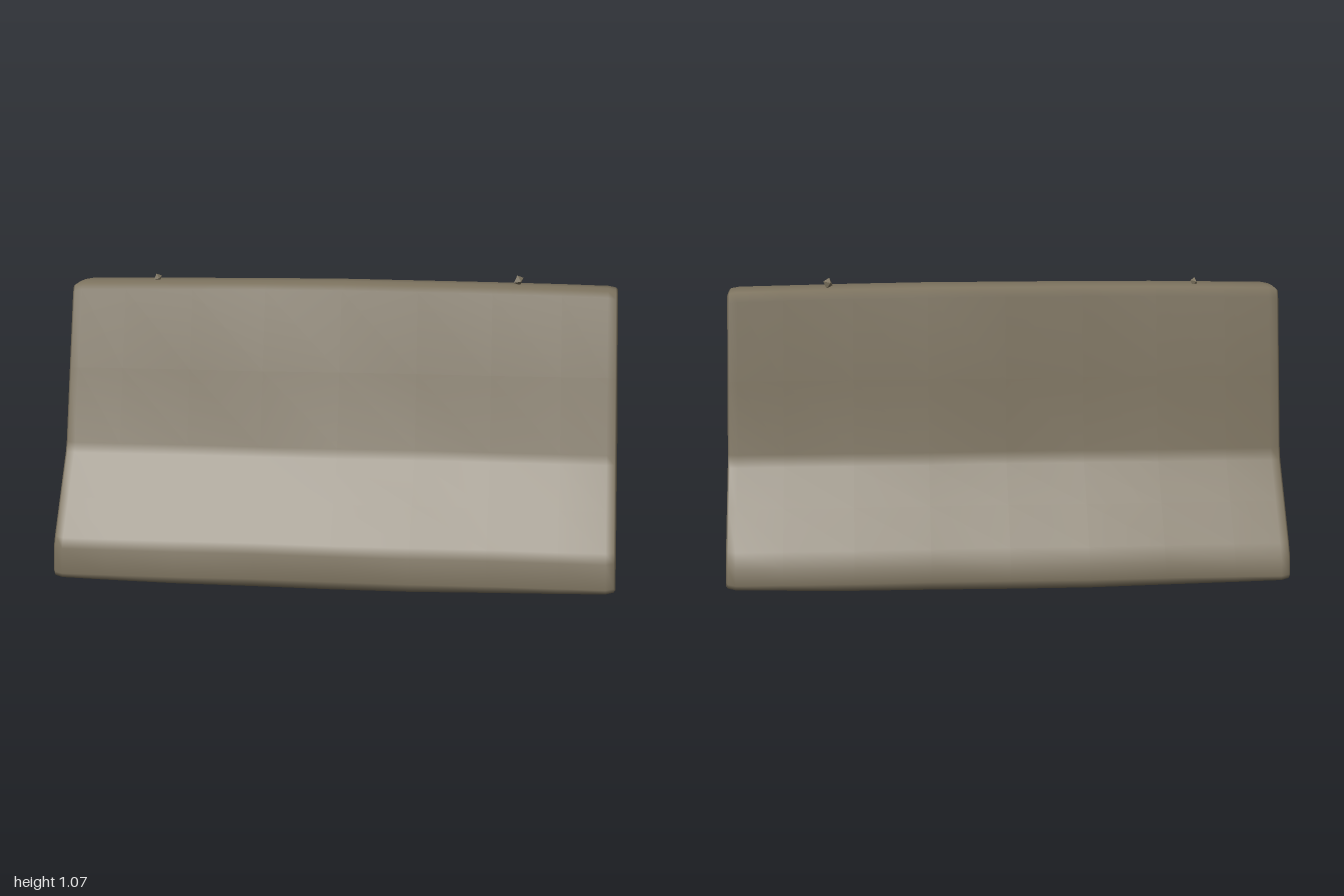
import * as THREE from 'three';

// Barrier cross-section as [z, y], up the front, over the top, down the back, along the underside
const PROFILE = [
  [0.40, 0.02], [0.408, 0.035], [0.403, 0.125], [0.385, 0.16], [0.30, 0.29], [0.205, 0.435],
  [0.19, 0.47], [0.13, 0.735], [0.066, 1.01], [0.052, 1.032], [-0.03, 1.034], [-0.108, 1.032],
  [-0.122, 1.0], [-0.15, 0.72], [-0.178, 0.46], [-0.192, 0.415], [-0.28, 0.285], [-0.37, 0.15],
  [-0.398, 0.10], [-0.405, 0.04], [-0.397, 0.024], [-0.25, 0.017], [-0.09, 0.014], [0.2, 0.017],
];

// Stations along the length: [x, inset], with the last ones rounding off the ends
const STATIONS = [
  [-1, 0.045], [-0.993, 0.018], [-0.965, 0], [-0.8, 0], [-0.55, 0], [-0.28, 0], [0, 0],
  [0.28, 0], [0.55, 0], [0.8, 0], [0.965, 0], [0.993, 0.018], [1, 0.045],
];

function barrierGeometry() {
  const n = PROFILE.length;
  const pos = [];
  const index = [];
  for (const [x, inset] of STATIONS) {
    const bow = 1 - x * x;
    for (const [z, y] of PROFILE) {
      const foot = y < 0.03 ? -0.014 * bow : 0;
      const crown = y > 0.9 ? 0.011 * bow : 0;
      const wobble = 0.006 * Math.sin(x * 7 + y * 5) * bow;
      pos.push(
        x * (1 - 0.014 * y),
        0.5 + (y - 0.5) * (1 - inset * 0.45) + foot + crown,
        z * (1 - inset * 1.3) + wobble,
      );
    }
  }
  for (let i = 0; i < STATIONS.length - 1; i++) {
    for (let j = 0; j < n; j++) {
      const a = i * n + j, b = i * n + (j + 1) % n;
      index.push(a, a + n, b, b, a + n, b + n);
    }
  }
  // End caps fan out from a spine vertex at the middle of each end
  const last = (STATIONS.length - 1) * n;
  const capA = pos.length / 3;
  pos.push(-0.997, 0.42, 0, 0.997, 0.42, 0);
  for (let j = 0; j < n; j++) {
    const k = (j + 1) % n;
    index.push(capA, j, k, capA + 1, last + k, last + j);
  }
  const geo = new THREE.BufferGeometry();
  geo.setAttribute('position', new THREE.Float32BufferAttribute(pos, 3));
  geo.setIndex(index);
  geo.computeVertexNormals();
  return geo;
}

export function createModel() {
  const group = new THREE.Group();
  group.name = 'roadBarrier';
  const concrete = new THREE.MeshStandardMaterial({ color: 0x7d735f });
  concrete.name = 'weathered concrete';

  const body = new THREE.Mesh(barrierGeometry(), concrete);
  body.name = 'barrierBody';
  group.add(body);

  // Small chips standing on the top edge
  for (const [x, y, z, r] of [[-0.69, 1.047, -0.035, 0.017], [0.63, 1.055, -0.048, 0.021]]) {
    const chip = new THREE.Mesh(new THREE.OctahedronGeometry(r), concrete);
    chip.name = 'topChip';
    chip.position.set(x, y, z);
    chip.scale.z = 0.8;
    chip.rotation.set(0.2, 0.6, 0.3);
    group.add(chip);
  }
  return group;
}
